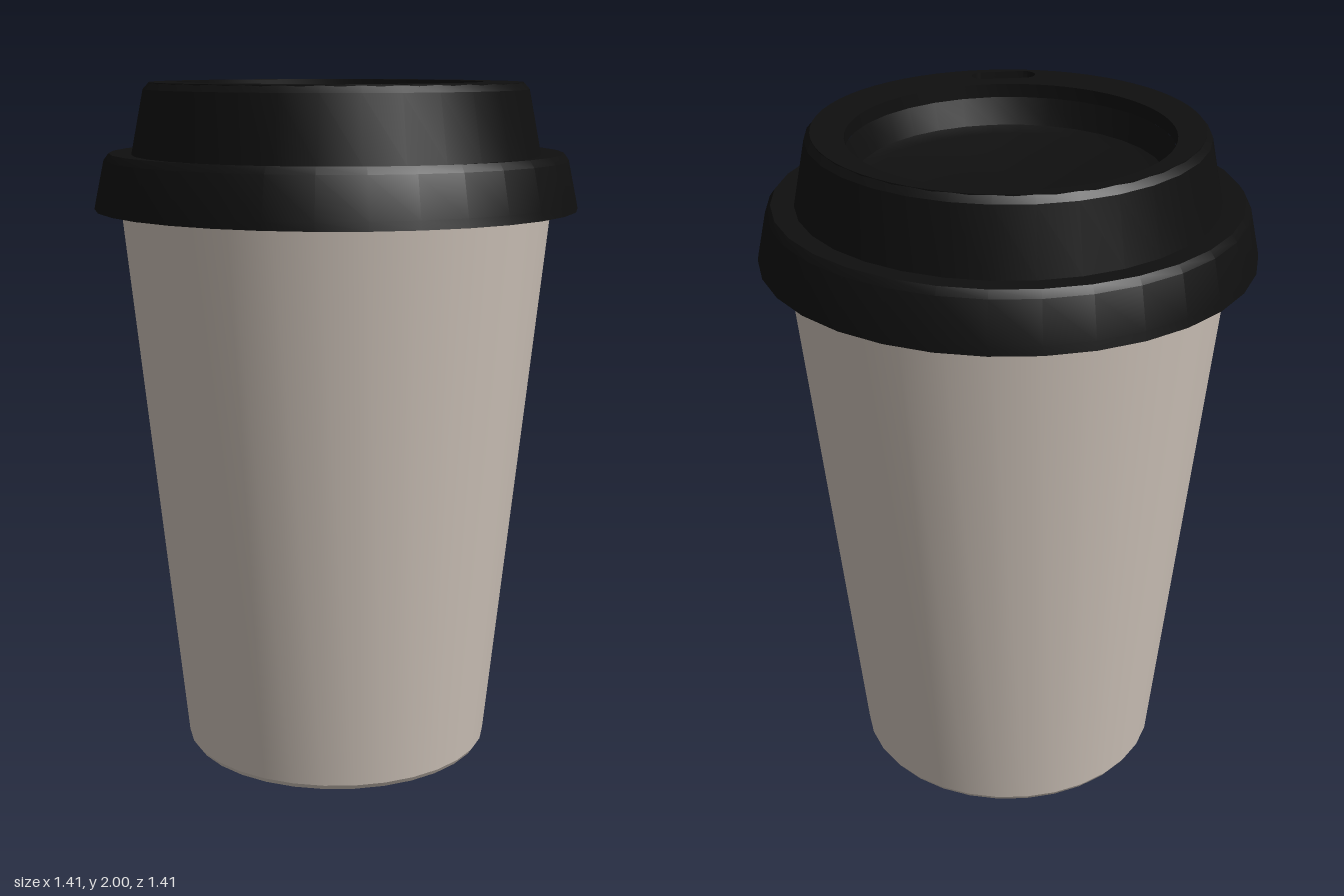
import * as THREE from 'three';
import { toCreasedNormals } from 'three/addons/utils/BufferGeometryUtils.js';

const SEGMENTS = 32;
const RECESS = { radius: 0.45, z: -0.06 };
const SLOT = { x: -0.045, z: 0.48, length: 0.19, width: 0.07 };

// Turned part with sharp profile corners and a smooth circumference
function turned(name, profile, material) {
  const points = profile.map(([r, y]) => new THREE.Vector2(r, y));
  const mesh = new THREE.Mesh(
    toCreasedNormals(new THREE.LatheGeometry(points, SEGMENTS), Math.PI / 7),
    material
  );
  mesh.name = name;
  return mesh;
}

function circlePath(radius, y, PathType) {
  const path = new PathType();
  path.absarc(0, y, radius, 0, Math.PI * 2, false);
  return path;
}

// Rounded drinking slot, drawn in the plan of the lid
function slotPath(PathType) {
  const r = SLOT.width / 2;
  const half = SLOT.length / 2 - r;
  const path = new PathType();
  path.absarc(SLOT.x + half, -SLOT.z, r, -Math.PI / 2, Math.PI / 2, false);
  path.absarc(SLOT.x - half, -SLOT.z, r, Math.PI / 2, Math.PI * 1.5, false);
  path.closePath();
  return path;
}

export function createModel() {
  const model = new THREE.Group();
  model.name = 'takeawayCup';

  const paper = new THREE.MeshStandardMaterial({ color: 0xcdc2b8 });
  paper.name = 'warm grey paper';
  const plastic = new THREE.MeshStandardMaterial({ color: 0x0f0f0f });
  plastic.name = 'black plastic';

  // Tapered cup with a flat base
  model.add(turned('cup', [[0, 0], [0.45, 0], [0.46, 0.015], [0.63, 1.66]], paper));

  const lid = new THREE.Group();
  lid.name = 'lid';
  model.add(lid);

  // Flared skirt, ledge and raised collar
  lid.add(turned('lidShell', [
    [0.61, 1.64], [0.705, 1.64], [0.7, 1.665], [0.675, 1.78], [0.66, 1.8],
    [0.595, 1.795], [0.558, 1.98], [0.54, 2],
  ], plastic));

  // Top rim, wider at the front, pierced by the recess and the slot
  const rimShape = circlePath(0.541, 0, THREE.Shape);
  rimShape.holes.push(circlePath(RECESS.radius, -RECESS.z, THREE.Path), slotPath(THREE.Path));
  const rimGeometry = new THREE.ExtrudeGeometry(rimShape, {
    depth: 0.04, bevelEnabled: false, curveSegments: SEGMENTS,
  });
  rimGeometry.rotateX(-Math.PI / 2);
  const rim = new THREE.Mesh(toCreasedNormals(rimGeometry, Math.PI / 7), plastic);
  rim.name = 'lidRim';
  rim.position.y = 1.96;
  lid.add(rim);

  // Sunken centre of the lid
  const recess = turned('lidRecess', [
    [RECESS.radius, 1.961], [0.425, 1.885], [0.39, 1.87], [0, 1.865],
  ], plastic);
  recess.position.z = RECESS.z;
  lid.add(recess);

  // Floor of the drinking slot
  const slotGeometry = new THREE.ShapeGeometry(slotPath(THREE.Shape), 12);
  slotGeometry.rotateX(-Math.PI / 2);
  const slotFloor = new THREE.Mesh(slotGeometry, plastic);
  slotFloor.name = 'drinkingSlotFloor';
  slotFloor.position.y = 1.965;
  lid.add(slotFloor);

  return model;
}
